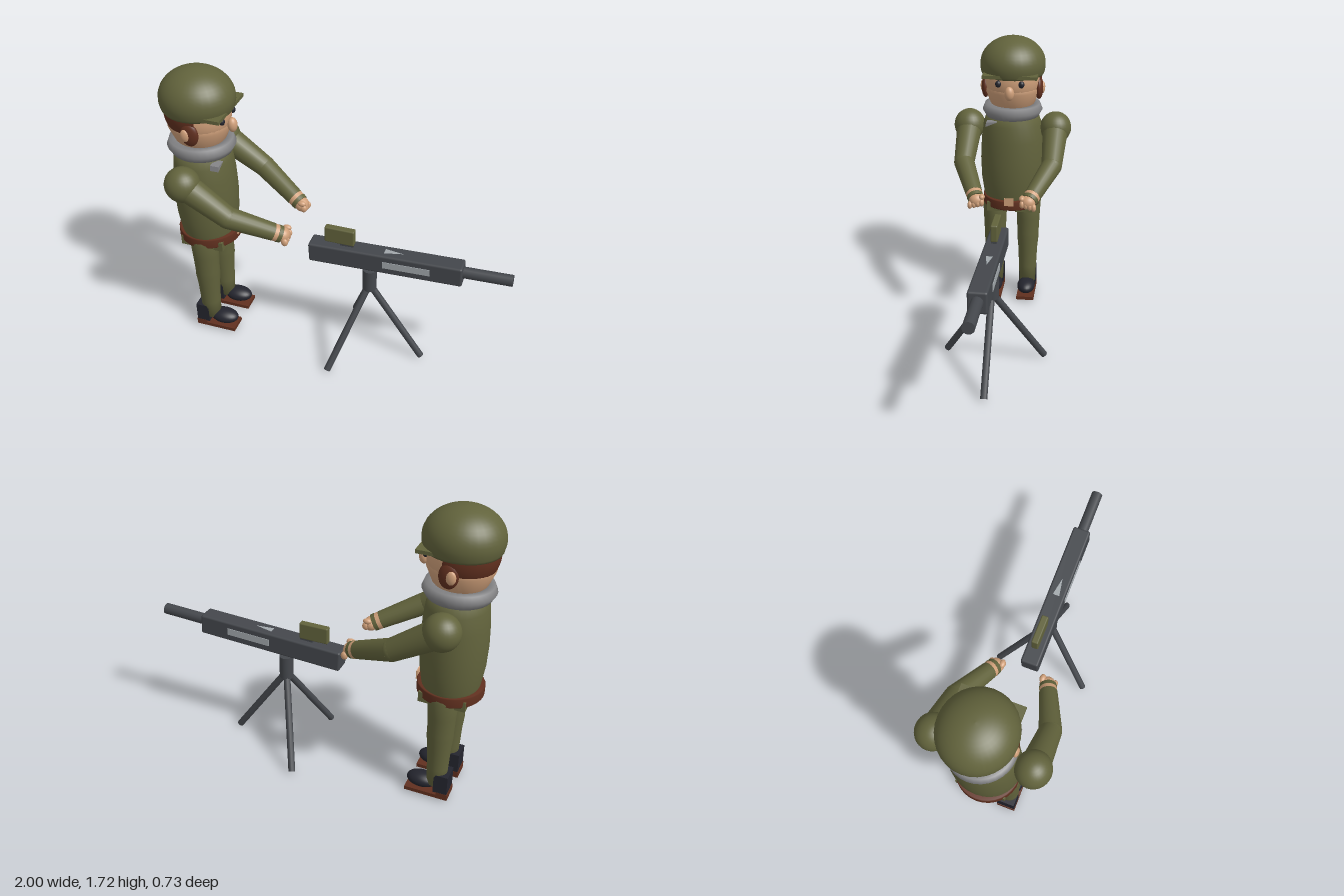
import * as THREE from 'three';
import { RoundedBoxGeometry } from 'three/addons/geometries/RoundedBoxGeometry.js';

const material = (name, color, side = THREE.FrontSide) => {
  const m = new THREE.MeshStandardMaterial({ color, side });
  m.name = name;
  return m;
};

export function createModel() {
  const olive = material('olive cloth', 0x62633c);
  const skin = material('skin', 0xd0a07a);
  const brown = material('brown', 0x61301f, THREE.DoubleSide);
  const grey = material('scarf grey', 0x858587);
  const navy = material('boot navy', 0x24252e);
  const steel = material('gun steel', 0x44474c);
  const silver = material('silver', 0xa2a8ac, THREE.DoubleSide);
  const AX = -0.79; // upright axis of the figure, which faces +x

  const model = new THREE.Group();
  const soldier = new THREE.Group();
  soldier.name = 'soldier';
  const gun = new THREE.Group();
  gun.name = 'mountedGun';
  model.add(soldier, gun);

  const add = (parent, name, geo, mat, x = 0, y = 0, z = 0) => {
    const mesh = new THREE.Mesh(geo, mat);
    mesh.name = name;
    mesh.position.set(x, y, z);
    parent.add(mesh);
    return mesh;
  };
  const box = (parent, name, mat, w, h, d, x, y, z) =>
    add(parent, name, new THREE.BoxGeometry(w, h, d), mat, x, y, z);
  const ball = (parent, name, mat, rx, ry, rz, x, y, z) => {
    const m = add(parent, name, new THREE.SphereGeometry(1, 28, 18), mat, x, y, z);
    m.scale.set(rx, ry, rz);
    return m;
  };
  // tapered rod between two points
  const rod = (parent, name, mat, a, b, ra, rb, sides = 20) => {
    const p = new THREE.Vector3(...a), q = new THREE.Vector3(...b);
    const dir = q.clone().sub(p);
    const m = add(parent, name, new THREE.CylinderGeometry(rb, ra, dir.length(), sides), mat);
    m.position.copy(p).add(q).multiplyScalar(0.5);
    m.quaternion.setFromUnitVectors(new THREE.Vector3(0, 1, 0), dir.normalize());
    return m;
  };
  // turned body, profile listed from bottom to top as [radius, y]
  const lathe = (parent, name, mat, pts, x, z = 0, sz = 1) => {
    const geo = new THREE.LatheGeometry(pts.map(p => new THREE.Vector2(...p)), 32);
    const m = add(parent, name, geo, mat, x, 0, z);
    m.scale.z = sz;
    return m;
  };

  // Head
  ball(soldier, 'face', skin, 0.182, 0.185, 0.172, AX, 1.46, 0);
  lathe(soldier, 'jaw', skin, [[0, 1.27], [0.115, 1.275], [0.145, 1.31], [0.178, 1.39], [0.17, 1.42]], AX, 0, 0.95);
  ball(soldier, 'nose', skin, 0.027, 0.043, 0.029, -0.595, 1.407, 0);
  const hair = add(soldier, 'hair',
    new THREE.SphereGeometry(0.192, 28, 12, -1.85, 3.7, 1.2, 1.25), brown, AX, 1.475, 0);
  hair.scale.set(1, 1, 0.93);

  // Helmet with short peak
  const dome = [[0, 1.485], [0.195, 1.485], [0.203, 1.5], [0.209, 1.53]];
  for (let i = 0; i <= 12; i++) {
    const t = (i / 12) * Math.PI / 2;
    dome.push([0.21 * Math.cos(t), 1.55 + 0.165 * Math.sin(t)]);
  }
  lathe(soldier, 'helmet', olive, dome, AX, 0, 0.95);
  box(soldier, 'helmetPeak', olive, 0.13, 0.02, 0.33, -0.66, 1.503, 0);

  // Scarf with six-sided section
  lathe(soldier, 'scarf', grey, [[0.13, 1.225], [0.172, 1.228], [0.193, 1.265],
    [0.178, 1.303], [0.13, 1.303], [0.12, 1.265], [0.13, 1.225]], AX, 0, 0.96)
    .geometry = lathe(new THREE.Group(), 'ring', grey, [[0.13, 1.225], [0.172, 1.228],
      [0.193, 1.265], [0.178, 1.303], [0.13, 1.303], [0.12, 1.265], [0.13, 1.225]], 0)
      .geometry.toNonIndexed();
  const fold = new THREE.Shape([[0.145, 1.215], [0.08, 1.215], [0.15, 1.185]]
    .map(p => new THREE.Vector2(-p[0], p[1])));
  const tip = add(soldier, 'scarfTip', new THREE.ExtrudeGeometry(fold, { depth: 0.05, bevelEnabled: false }), grey, -0.68, 0, 0);
  tip.rotation.y = Math.PI / 2;

  // Torso and belt
  lathe(soldier, 'torso', olive, [[0, 0.63], [0.13, 0.63], [0.15, 0.67], [0.16, 0.72], [0.174, 0.82],
    [0.179, 0.95], [0.174, 1.08], [0.163, 1.18], [0.14, 1.25], [0, 1.27]], AX, 0, 1.11);
  lathe(soldier, 'belt', brown, [[0.14, 0.645], [0.178, 0.645], [0.183, 0.652], [0.183, 0.7], [0.178, 0.705], [0.14, 0.705]], AX);
  box(soldier, 'buckle', skin, 0.008, 0.05, 0.06, -0.606, 0.705, 0);

  for (const s of [1, -1]) {
    // Face details
    ball(soldier, 'eye', navy, 0.016, 0.021, 0.018, -0.622, 1.458, s * 0.07);
    ball(soldier, 'sideburn', brown, 0.052, 0.07, 0.025, -0.772, 1.405, s * 0.165);
    ball(soldier, 'ear', skin, 0.026, 0.037, 0.015, -0.79, 1.405, s * 0.185);

    // Arm
    const elbow = [-0.54, 0.985, s * 0.268];
    const along = t => [-0.54 + 0.28 * t, 0.985 - 0.14 * t, s * (0.268 - 0.118 * t)];
    ball(soldier, 'shoulder', olive, 0.1, 0.1, 0.097, AX, 1.15, s * 0.27);
    rod(soldier, 'upperArm', olive, [AX, 1.15, s * 0.27], elbow, 0.08, 0.062);
    ball(soldier, 'elbow', olive, 0.062, 0.062, 0.062, ...elbow);
    rod(soldier, 'forearm', olive, elbow, along(0.8), 0.062, 0.05);
    rod(soldier, 'wrist', skin, along(0.8), along(0.87), 0.049, 0.048);
    rod(soldier, 'cuff', olive, along(0.87), along(0.94), 0.05, 0.048);

    // Fist with curled fingers and thumb
    ball(soldier, 'palm', skin, 0.04, 0.042, 0.045, -0.267, 0.85, s * 0.152);
    for (let i = 0; i < 4; i++)
      ball(soldier, 'finger', skin, 0.02, 0.024, 0.015, -0.246, 0.826 + i * 0.006, s * (0.188 - i * 0.023));
    ball(soldier, 'thumb', skin, 0.025, 0.017, 0.017, -0.255, 0.877, s * 0.118);

    // Leg
    lathe(soldier, 'trouserLeg', olive, [[0, 0.085], [0.055, 0.085], [0.06, 0.2], [0.066, 0.33], [0.074, 0.41],
      [0.073, 0.44], [0.078, 0.55], [0.084, 0.66], [0.06, 0.72], [0, 0.73]], -0.785, s * 0.108, 0.95);
    box(soldier, 'hip', olive, 0.26, 0.06, 0.11, -0.785, 0.652, s * 0.09);

    // Boot
    box(soldier, 'bootShaft', navy, 0.08, 0.12, 0.11, -0.823, 0.11, s * 0.108);
    ball(soldier, 'bootToe', navy, 0.088, 0.043, 0.058, -0.702, 0.08, s * 0.108);
    box(soldier, 'bootSole', brown, 0.25, 0.022, 0.112, -0.742, 0.024, s * 0.108);
    box(soldier, 'bootHeel', brown, 0.065, 0.04, 0.112, -0.834, 0.033, s * 0.108);
  }

  // Gun body, barrel and plates, raised slightly toward the muzzle
  const upper = new THREE.Group();
  upper.name = 'gunUpper';
  upper.position.set(0.285, 0.692, 0);
  upper.rotation.z = 0.042;
  gun.add(upper);
  add(upper, 'receiver', new RoundedBoxGeometry(0.89, 0.12, 0.105, 2, 0.012), steel);
  rod(upper, 'barrel', steel, [0.43, 0.007, 0], [0.716, 0.007, 0], 0.033, 0.033, 12);
  for (const s of [1, -1])
    box(upper, 'sidePlate', silver, 0.27, 0.042, 0.006, 0.13, 0.003, s * 0.053);
  const arrow = new THREE.Shape([[0, -0.02], [0.11, 0], [0, 0.02]].map(p => new THREE.Vector2(...p)));
  add(upper, 'topPlate', new THREE.ShapeGeometry(arrow), silver, -0.003, 0.0615, 0).rotation.x = -Math.PI / 2;

  // Ammunition box on its mount
  add(gun, 'ammunitionBox', new RoundedBoxGeometry(0.175, 0.1, 0.04, 2, 0.008), olive, 0.015, 0.802, 0);
  box(gun, 'ammunitionMount', steel, 0.08, 0.04, 0.03, 0.06, 0.74, 0);

  // Tripod
  rod(gun, 'tripodPost', steel, [0.195, 0.46, 0], [0.195, 0.602, 0], 0.041, 0.041, 24);
  for (const foot of [[0.525, 0.011, 0], [0.03, 0.011, 0.288], [0.03, 0.011, -0.288]])
    rod(gun, 'tripodLeg', steel, [0.195, 0.49, 0], foot, 0.02, 0.02, 12);

  return model;
}
